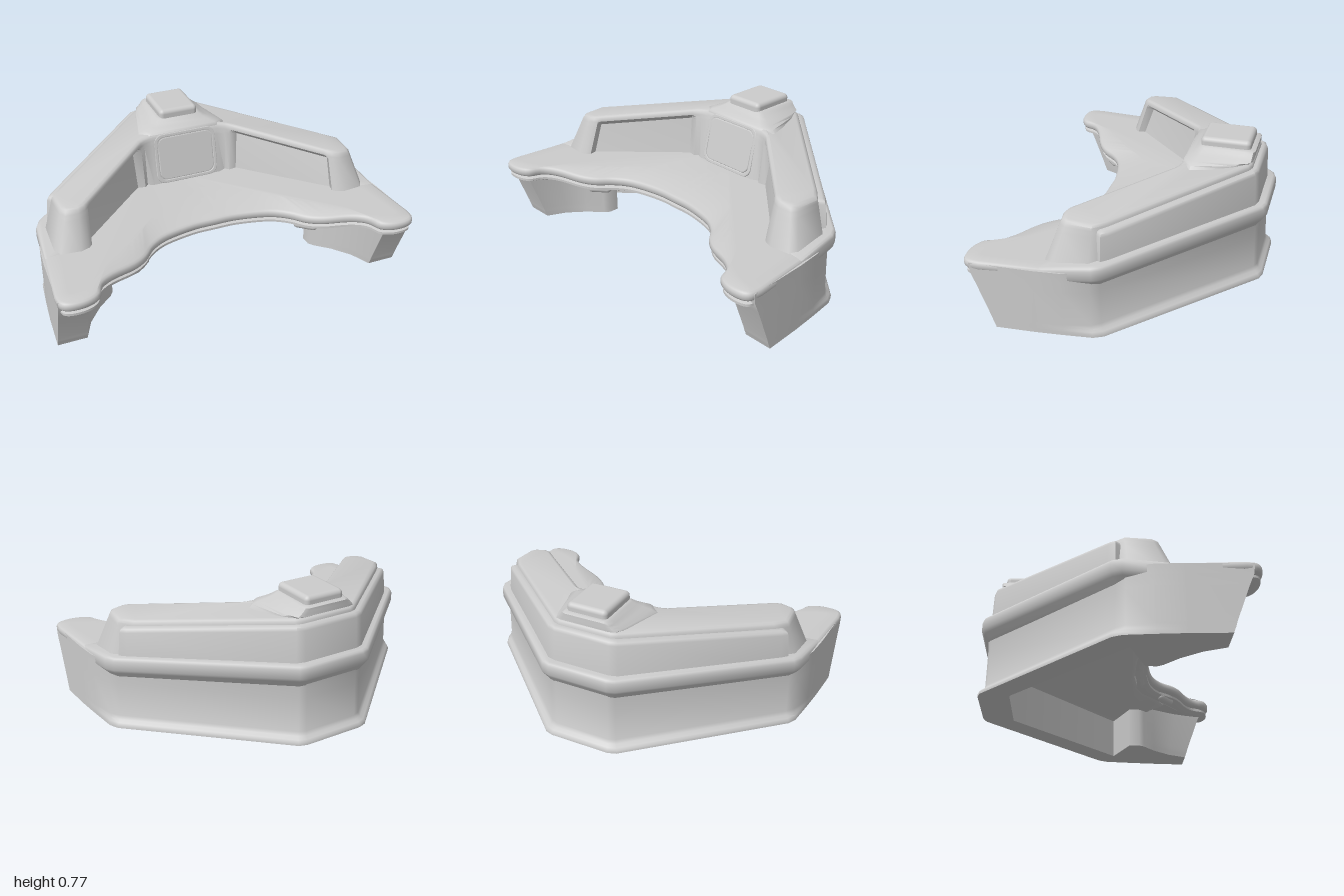
import * as THREE from 'three';
import { toCreasedNormals } from 'three/addons/utils/BufferGeometryUtils.js';
import { RoundedBoxGeometry } from 'three/addons/geometries/RoundedBoxGeometry.js';

const material = new THREE.MeshStandardMaterial({ color: 0xcccccc, roughness: 0.7 });
const { lerp, clamp, smoothstep } = THREE.MathUtils;

// Half outlines are [x, z] pairs on the +x side, running from back to front.
const mirror = (half) => [...half, ...half.map(([x, ...r]) => [-x, ...r]).reverse()];
const lift = (half, y) => half.map(([x, z]) => [x, typeof y === 'function' ? y(x, z) : y, z]);
const blend = (a, b, t) => a.map((p, i) => [lerp(p[0], b[i][0], t), lerp(p[1], b[i][1], t)]);

// Moves a symmetric outline inwards by d.
function inset(half, d) {
  const full = mirror(half), n = full.length;
  const normal = (a, b) => {
    const dx = b[0] - a[0], dz = b[1] - a[1], l = Math.hypot(dx, dz) || 1;
    return [-dz / l, dx / l];
  };
  return half.map((p, i) => {
    const a = normal(full[(i + n - 1) % n], p), b = normal(p, full[(i + 1) % n]);
    const k = d / Math.max(0.5, 1 + a[0] * b[0] + a[1] * b[1]);
    return [p[0] + (a[0] + b[0]) * k, p[1] + (a[1] + b[1]) * k];
  });
}

// Skins a stack of symmetric rings (bottom to top) and caps both ends.
function loft(halfRings, crease = 0.65) {
  const rings = halfRings.map(mirror), n = rings[0].length, index = [];
  for (let r = 0; r < rings.length - 1; r++) {
    for (let i = 0; i < n; i++) {
      const a = r * n + i, b = r * n + ((i + 1) % n);
      index.push(a, a + n, b + n, a, b + n, b);
    }
  }
  const cap = (r, up) => {
    const pts = rings[r].map(([x, , z]) => new THREE.Vector2(x, z));
    for (const [a, b, c] of THREE.ShapeUtils.triangulateShape(pts, [])) {
      const A = pts[a], B = pts[b], C = pts[c];
      const facesUp = (B.y - A.y) * (C.x - A.x) - (B.x - A.x) * (C.y - A.y) > 0;
      const t = facesUp === up ? [a, b, c] : [a, c, b];
      index.push(...t.map((v) => v + r * n));
    }
  };
  cap(0, false);
  cap(rings.length - 1, true);
  const g = new THREE.BufferGeometry();
  g.setAttribute('position', new THREE.Float32BufferAttribute(rings.flat(2), 3));
  g.setIndex(index);
  return toCreasedNormals(g, crease);
}

function roundedRect(w, h, r, Type = THREE.Shape) {
  const s = new Type(), x = w / 2, y = h / 2;
  s.moveTo(-x + r, -y).lineTo(x - r, -y).absarc(x - r, -y + r, r, -Math.PI / 2, 0);
  s.absarc(x - r, y - r, r, 0, Math.PI / 2).absarc(-x + r, y - r, r, Math.PI / 2, Math.PI);
  s.absarc(-x + r, -y + r, r, Math.PI, Math.PI * 1.5);
  return s;
}

export function createModel() {
  const group = new THREE.Group();
  const add = (name, geometry, parent = group) => {
    const mesh = new THREE.Mesh(geometry, material);
    mesh.name = name;
    parent.add(mesh);
    return mesh;
  };

  // Base wall: V-shaped plan, flared foot, raked legs with a hollow behind each
  const wall = (out, rake) => {
    const k = 0.04 * (1 - out);
    return [
      [0.17 - k * 0.4, -0.7 + k], [0.215 - k * 0.6, -0.685 + k], [0.93 - k * 0.7, -0.02 + k * 0.6],
      [0.955 - k * 0.5, 0.03 + k * 0.4], [0.972, 0.18], [0.985, 0.32], [0.997, 0.53 + rake],
      [0.84, 0.53 + rake], [0.79, 0.42 + rake * 0.5], [0.71, 0.32], [0.63, 0.25],
      [0.61, 0.22], [0.61, 0.16], [0.83, 0.07], [0.19, -0.53],
    ];
  };
  add('baseWall', loft([
    lift(wall(1, 0), 0), lift(wall(1, 0.005), 0.015), lift(wall(0.75, 0.01), 0.027), lift(wall(0.35, 0.014), 0.04),
    lift(wall(0.1, 0.02), 0.06), lift(wall(0, 0.09), 0.25), lift(wall(0, 0.115), 0.31), lift(wall(0.1, 0.12), 0.365),
  ], 0.85));

  // Sloping ledge around the outside of the wall
  const ledgeTop = (x, z) => z > 0.05 ? lerp(0.408, 0.372, clamp((z - 0.05) / 0.28, 0, 1))
    : lerp(0.408, 0.455, (0.05 - z) / 0.75);
  const ledge = [[0.17, -0.7], [0.215, -0.685], [0.93, -0.02], [0.955, 0.03], [0.975, 0.31],
    [0.86, 0.29], [0.72, 0.14], [0.15, -0.42]];
  add('outerLedge', loft([[0.052, -0.14], [0.034, -0.115], [0.014, -0.09], [0, -0.07], [0, -0.02], [0.006, -0.006], [0.018, 0]]
    .map(([d, dy]) => lift(inset(ledge, d), (x, z) => ledgeTop(x, z) + dy)), 0.9));

  // Desktop with a wavy, double-lipped front edge that dips in the middle
  const front = new THREE.SplineCurve([
    [1, 0.6], [0.99, 0.665], [0.945, 0.695], [0.86, 0.695], [0.79, 0.66], [0.755, 0.585], [0.68, 0.53],
    [0.55, 0.475], [0.47, 0.42], [0.4, 0.34], [0.3, 0.28], [0.13, 0.243], [0.01, 0.24],
  ].map((p) => new THREE.Vector2(...p)));
  const desk = [[0.15, -0.6], [0.2, -0.59], [0.87, 0.03], [0.96, 0.12],
    ...front.getPoints(48).map((p) => [p.x, p.y])];
  const deskY = (y) => (x, z) => y - (z > 0.2 ? 0.03 * (1 - smoothstep(x, 0.4, 0.8)) : 0);
  const deskMiddle = desk.map(([x, z]) => [x * 0.925, (z + 0.95 * x - 0.38) / 2]);
  add('desktop', loft([
    ...[[0.06, 0.275], [0.03, 0.285], [0.012, 0.295], [0.012, 0.308], [0.035, 0.314], [0.035, 0.322],
      [0.008, 0.328], [0, 0.34], [0, 0.36], [0.006, 0.371], [0.018, 0.376],
    ].map(([d, y]) => lift(inset(desk, d), deskY(y))),
    lift(deskMiddle, 0.376),
  ], 0.9));
  const under = [[0.15, -0.56], [0.85, 0.06], [0.85, 0.2], [0.64, 0.3], [0.56, 0.37], [0.47, 0.32], [0.38, 0.24],
    [0.28, 0.19], [0.12, 0.16]];
  add('deskUnderside', loft([lift(inset(under, 0.02), 0.236), lift(under, 0.25), lift(under, 0.3)]));

  // Upper console: two wings with shallow inner panels around a sloped centre
  const low = [[0.15, -0.625], [0.195, -0.61], [0.87, 0.0], [0.925, 0.06], [0.922, 0.26], [0.895, 0.3],
    [0.78, 0.312], [0.735, 0.295], [0.715, 0.275], [0.7, 0.255], [0.285, -0.155], [0.265, -0.17],
    [0.245, -0.19], [0.205, -0.17]];
  const high = [[0.15, -0.605], [0.185, -0.59], [0.8, -0.015], [0.855, 0.05], [0.845, 0.185], [0.825, 0.215],
    [0.76, 0.225], [0.725, 0.212], [0.705, 0.195], [0.69, 0.18], [0.295, -0.19], [0.275, -0.21],
    [0.25, -0.225], [0.2, -0.24]];
  const consoleY = (x) => lerp(0.668, 0.589, smoothstep(x, 0.1, 0.85) * 0.4 + clamp((x - 0.2) / 0.62, 0, 1) * 0.6);
  const consoleRing = (t, recess, d, dy) => {
    const half = inset(blend(low, high, t), d);
    for (const i of [9, 10]) {
      half[i][0] += recess;
      half[i][1] -= recess;
    }
    return lift(half, dy === null ? 0.345 : (x) => consoleY(x) + dy);
  };
  add('upperConsole', loft([
    consoleRing(0, 0.022, 0, null), consoleRing(0.78, 0.03, 0, -0.06), consoleRing(0.84, 0.018, 0, -0.045),
    consoleRing(0.9, 0.002, 0, -0.032), consoleRing(0.96, 0, 0, -0.016), consoleRing(1, 0, 0.006, -0.005),
    consoleRing(1, 0, 0.02, 0),
  ], 0.85));

  // Shoulder step along the back of the console
  const shoulder = [[0.16, -0.655], [0.207, -0.64], [0.86, -0.035], [0.89, 0.005], [0.84, 0.06], [0.72, 0.02], [0.16, -0.5]];
  const shoulderY = (x, z) => lerp(0.56, 0.645, clamp(-z / 0.63, 0, 1));
  add('rearShoulder', loft([
    lift(shoulder, 0.38), lift(inset(shoulder, 0.012), (x, z) => shoulderY(x, z) - 0.025),
    lift(inset(shoulder, 0.018), (x, z) => shoulderY(x, z) - 0.008), lift(inset(shoulder, 0.032), shoulderY),
  ], 0.85));

  // Centre hood flowing into the wings, with a rear overhang and a raised cap
  const neck = [[0.14, -0.57], [0.17, -0.56], [0.21, -0.5], [0.27, -0.29], [0.215, -0.238]];
  const hood = [[0.14, -0.605], [0.17, -0.595], [0.19, -0.54], [0.225, -0.3], [0.195, -0.25]];
  const hoodTop = [[0.11, -0.61], [0.13, -0.6], [0.135, -0.56], [0.135, -0.34], [0.12, -0.315]];
  add('centreHood', loft([
    lift(neck, 0.645), lift(blend(neck, hood, 0.35), 0.662), lift(hood, 0.674),
    lift(blend(hood, hoodTop, 0.4), 0.688), lift(blend(hood, hoodTop, 0.75), 0.703),
    lift(hoodTop, 0.718), lift(inset(hoodTop, 0.012), 0.724),
  ], 0.9));
  add('hoodCap', new RoundedBoxGeometry(0.232, 0.08, 0.27, 4, 0.025)).position.set(0, 0.728, -0.45);

  // Tilted screen in a thin raised frame
  const display = new THREE.Group();
  display.name = 'display';
  display.position.set(0, 0.517, -0.207);
  display.rotation.x = -0.237;
  group.add(display);
  const frame = roundedRect(0.37, 0.285, 0.05);
  frame.holes.push(roundedRect(0.345, 0.262, 0.045, THREE.Path));
  add('screenFrame', new THREE.ExtrudeGeometry(frame, {
    depth: 0.012, bevelThickness: 0.004, bevelSize: 0.004, bevelSegments: 2, curveSegments: 8 }), display).position.z = -0.012;
  add('screen', new THREE.ExtrudeGeometry(roundedRect(0.325, 0.242, 0.04), {
    depth: 0.008, bevelThickness: 0.004, bevelSize: 0.005, bevelSegments: 2, curveSegments: 8 }), display).position.z = -0.008;

  // Small pulls under the front edge
  for (const s of [-1, 1]) {
    const pull = add(s > 0 ? 'leftPull' : 'rightPull', new THREE.CapsuleGeometry(0.024, 0.09, 6, 12));
    pull.rotation.set(0, -s * 0.7, Math.PI / 2, 'YXZ');
    pull.position.set(s * 0.49, 0.263, 0.375);
  }
  return group;
}
